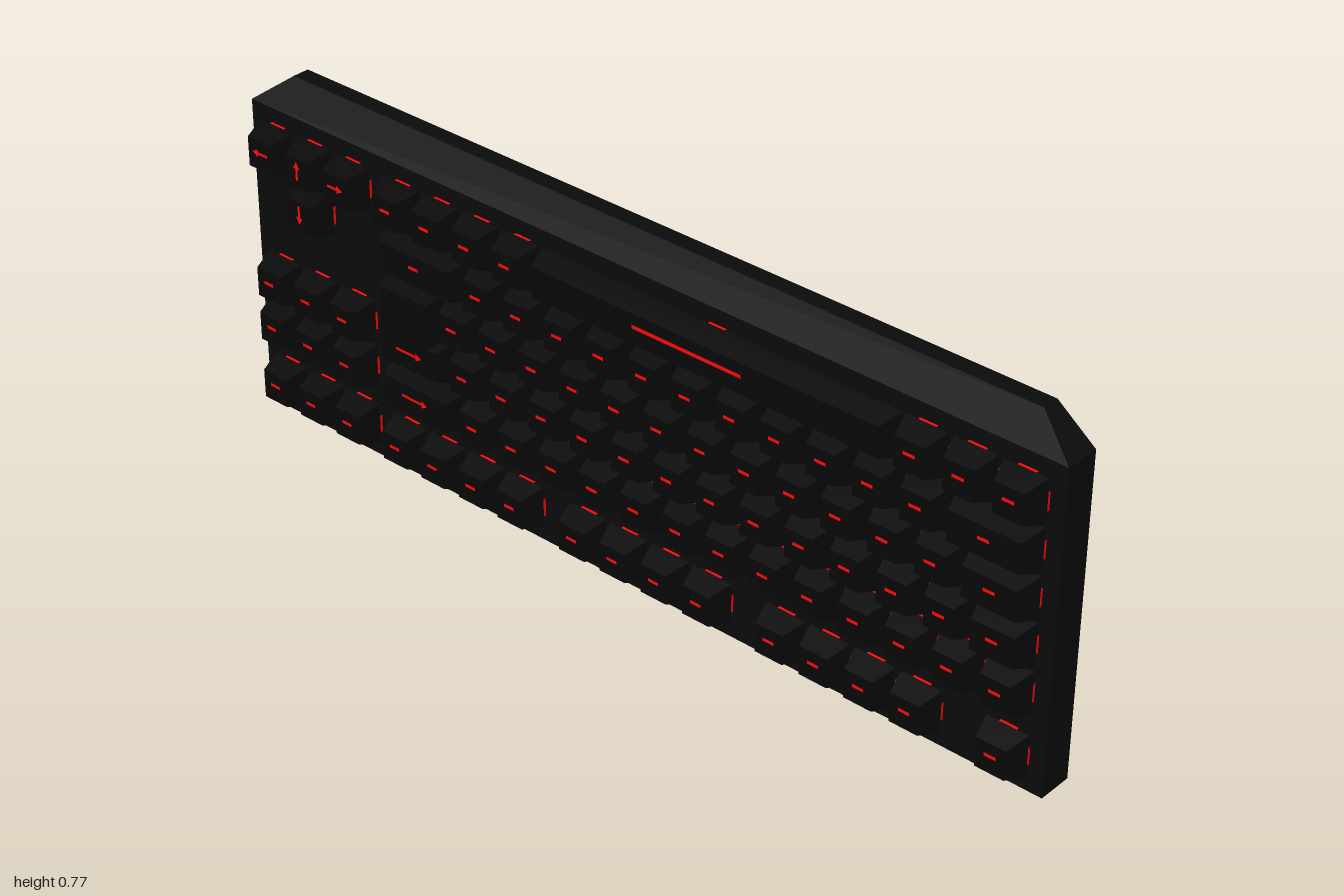
import * as THREE from 'three';

const caseMat = new THREE.MeshStandardMaterial({ color: 0x0a0a0a });
const keyMat = new THREE.MeshStandardMaterial({ color: 0x080808 });
const redMat = new THREE.MeshStandardMaterial({ color: 0xff0808, side: THREE.DoubleSide });

const KEY = 0.094, PITCH = 0.106;        // key base size and spacing
const BASE = 0.018, TOP = 0.067;         // z of key base and key top
const INSET = 0.0145;                    // taper on each side

function addMesh(parent, name, geometry, material, x = 0, y = 0, z = 0) {
  const mesh = new THREE.Mesh(geometry, material);
  mesh.name = name;
  mesh.position.set(x, y, z);
  parent.add(mesh);
  return mesh;
}

// Slab with cut upper corners; its upper front edge is pushed back into a bevel
function makeCase() {
  const outline = new THREE.Shape([[-1, 0], [1, 0], [1, 0.705], [0.915, 0.77], [-0.915, 0.77], [-1, 0.705]]
    .map(([x, y]) => new THREE.Vector2(x, y)));
  const slab = new THREE.ExtrudeGeometry(outline, { depth: 0.077, bevelEnabled: false });
  slab.translate(0, 0, -0.065);
  const p = slab.attributes.position;
  // front cap is rebuilt as a flat face plus a bevel, so drop the extruded cap
  const kept = [];
  for (let i = 0; i < p.count; i += 3) {
    const front = [0, 1, 2].every((k) => p.getZ(i + k) > 0);
    if (front) continue;
    for (let k = 0; k < 3; k++) {
      const y = p.getY(i + k), z = p.getZ(i + k);
      kept.push(p.getX(i + k), y, y > 0.72 && z > 0 ? -0.027 : z);
    }
  }
  const quad = (a, b, c, d) => kept.push(...a, ...b, ...c, ...a, ...c, ...d);
  const l = [-1, 0.705, 0.012], r = [1, 0.705, 0.012];
  quad([-1, 0, 0.012], [1, 0, 0.012], r, l);
  quad(l, r, [0.915, 0.77, -0.027], [-0.915, 0.77, -0.027]);
  const g = new THREE.BufferGeometry();
  g.setAttribute('position', new THREE.Float32BufferAttribute(kept, 3));
  g.computeVertexNormals();
  return g;
}

// Box whose front face is drawn in to make a tapered keycap
function keycapGeometry(w, h) {
  const g = new THREE.BoxGeometry(w, h, TOP - BASE);
  const p = g.attributes.position;
  for (let i = 0; i < p.count; i++) {
    if (p.getZ(i) < 0) continue;
    p.setX(i, p.getX(i) - Math.sign(p.getX(i)) * INSET);
    p.setY(i, p.getY(i) - Math.sign(p.getY(i)) * INSET);
  }
  g.computeVertexNormals();
  return g;
}

// Flat arrow pointing along +x
function arrowGeometry(len) {
  const a = len / 2, t = 0.003, n = a - 0.016;
  return new THREE.ShapeGeometry(new THREE.Shape([[-a, -t], [n, -t], [n, -0.009], [a, 0], [n, 0.009], [n, t], [-a, t]]
    .map(([x, y]) => new THREE.Vector2(x, y))));
}

export function createModel() {
  const model = new THREE.Group();
  model.name = 'keyboard';
  addMesh(model, 'case', makeCase(), caseMat);

  // mark: 'dash', 'none', 'bar', or an arrow angle in radians
  function key(name, x, y, w = KEY, h = KEY, mark = 'dash') {
    const group = new THREE.Group();
    group.name = name;
    group.position.set(x, y, 0);
    model.add(group);
    addMesh(group, 'keycap', keycapGeometry(w, h), keyMat, 0, 0, (BASE + TOP) / 2);

    // small backlight strips in the gap below each side of the key
    for (let i = 0; i < 4; i++) {
      const strip = new THREE.PlaneGeometry(0.04, 0.006);
      strip.rotateX(-Math.PI / 2);
      strip.translate(0, (i % 2 ? w : h) / 2, 0.015);
      strip.rotateZ(i * Math.PI / 2);
      addMesh(group, 'backlight', strip, redMat);
    }

    // glowing mark on the key top
    const z = TOP + 0.0006;
    if (mark === 'dash') addMesh(group, 'mark', new THREE.PlaneGeometry(0.026, 0.007), redMat, 0, 0.005, z);
    else if (mark === 'bar') addMesh(group, 'mark', new THREE.PlaneGeometry(0.26, 0.008), redMat, -0.03, 0.005, z);
    else if (mark !== 'none') {
      const arrow = addMesh(group, 'arrowMark', arrowGeometry(w > 0.12 ? 0.07 : 0.042), redMat, 0, 0.004, z);
      arrow.rotation.z = mark;
    }
  }
  // key given by its left and right edges
  const span = (name, x0, x1, y, mark) => key(name, (x0 + x1) / 2, y, x1 - x0, KEY, mark);
  // run of equal keys going towards -x
  const run = (name, x, y, count) => {
    for (let i = 0; i < count; i++) key(name, x - i * PITCH, y);
  };

  // function row
  key('escapeKey', 0.92, 0.08);
  for (const x of [0.727, 0.23, -0.254]) run('functionKey', x, 0.08, 4);

  // number row
  run('numberKey', 0.92, 0.22, 13);
  span('backspaceKey', -0.61, -0.407, 0.22, 0);

  // upper letter row
  span('tabKey', 0.845, 0.967, 0.325);
  run('letterKey', 0.79, 0.325, 12);

  // middle letter row
  span('capsKey', 0.82, 0.967, 0.425);
  run('letterKey', 0.765, 0.425, 12);

  // lower letter row
  span('shiftKey', 0.782, 0.967, 0.525);
  run('letterKey', 0.727, 0.525, 11);
  span('shiftKey', -0.61, -0.388, 0.525);

  // stepped enter key: a tall part and a wider part
  key('enterKey', -0.5325, 0.3745, 0.155, 0.195, 'none');
  span('enterKeyStep', -0.61, -0.431, 0.325, 0);

  // space bar row
  run('modifierKey', 0.92, 0.625, 3);
  span('spaceBar', -0.197, 0.655, 0.625, 'bar');
  run('modifierKey', -0.254, 0.625, 4);

  // navigation block
  for (const y of [0.08, 0.22, 0.325]) run('navigationKey', -0.71, y, 3);

  // arrow keys
  [[-0.71, 0.625, 0], [-0.818, 0.625, Math.PI / 2], [-0.924, 0.625, Math.PI], [-0.818, 0.525, -Math.PI / 2]]
    .forEach(([x, y, angle]) => key('arrowKey', x, y, KEY, KEY, angle));

  return model;
}
